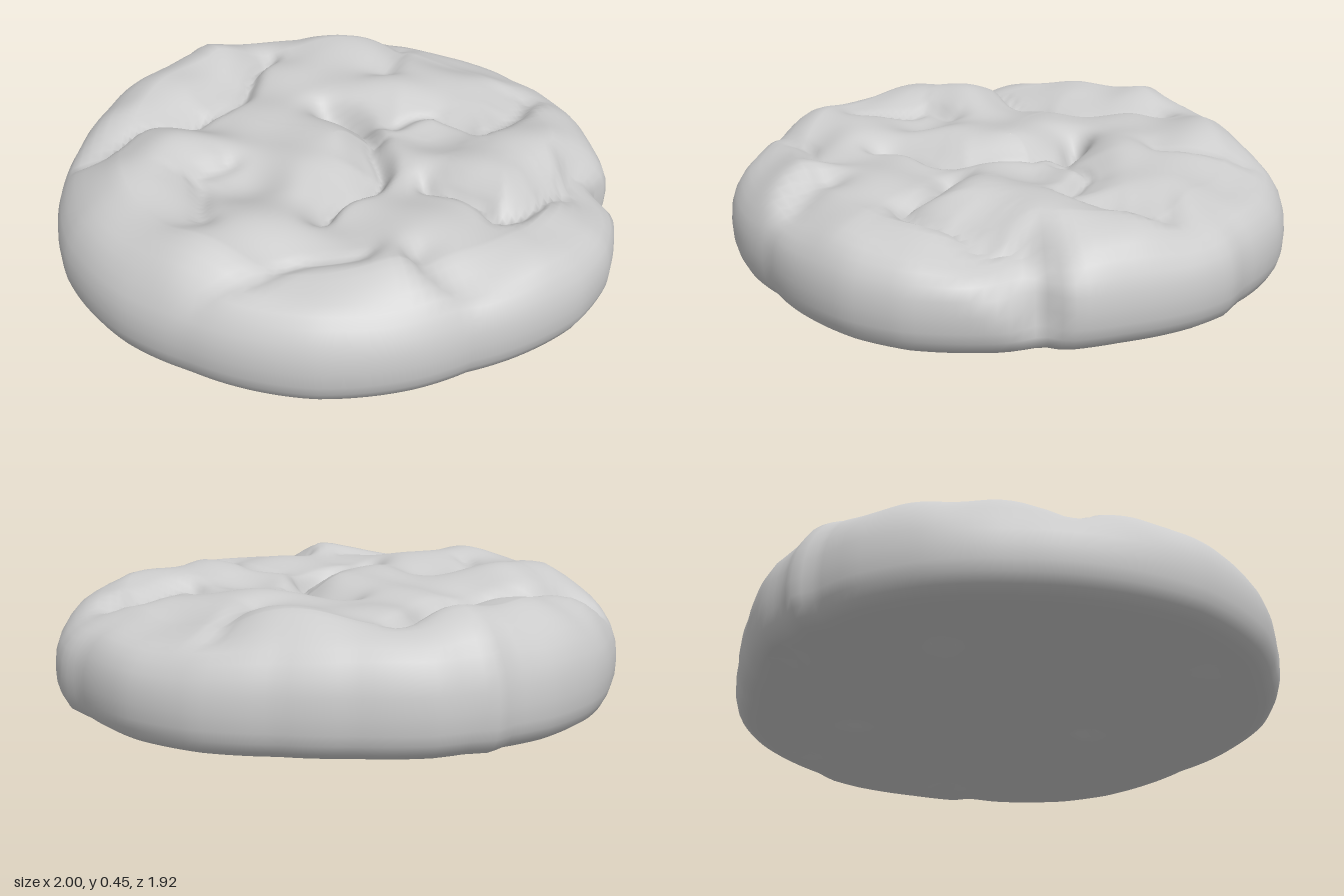
import * as THREE from 'three';

const { clamp, lerp, mapLinear, radToDeg, smoothstep } = THREE.MathUtils;
const SECTORS = 160;

// Outline radius at [angle in degrees from +x towards +z]
const OUTLINE = [[0, 1], [15, 0.98], [26, 0.985], [30, 0.95], [37, 0.985], [54, 1.02], [65, 1.015], [75, 0.99],
  [90, 0.955], [101, 0.97], [120, 0.985], [129, 0.98], [145, 0.97], [160, 0.99], [180, 1], [200, 0.98],
  [215, 0.97], [231, 0.98], [245, 0.975], [255, 0.955], [258, 0.98], [263, 0.955], [270, 0.955], [285, 0.915],
  [300, 0.915], [315, 0.96], [330, 0.98], [347, 0.975], [353, 1], [360, 1]];

// Side profile as [fraction of radius, height], from the underside round the rim
const RIM = [[0.9, 0.016], [0.94, 0.024], [0.97, 0.044], [0.987, 0.075], [0.997, 0.11], [1, 0.16], [0.995, 0.21],
  [0.98, 0.255], [0.955, 0.295], [0.925, 0.328], [0.89, 0.353], [0.85, 0.375], [0.81, 0.39]];

// Cracks in the crust as x, z paths: the left-hand side of each path is raised and rolls down into the crack
const CRACKS = [
  { step: 0.035, depth: 0.06, path: [[-0.78, -0.35], [-0.45, -0.39], [-0.3, -0.4], [-0.08, -0.56], [0.02, -0.68]] },
  { step: 0.03, depth: 0.08, path: [[-0.22, 0.36], [-0.1, 0.29], [0.04, 0.23], [0.15, 0.02], [0.12, -0.2]] },
  { step: 0.02, depth: 0.05, path: [[0.12, -0.2], [0.28, -0.06], [0.45, -0.02], [0.49, 0.14], [0.68, 0.1], [0.78, -0.02]] },
  { step: 0.035, depth: 0.06, path: [[0.2, 0.38], [0.3, 0.6], [0.47, 0.6], [0.68, 0.46], [0.86, 0.46]] },
  { step: 0.03, depth: 0.03, path: [[-0.6, 0.24], [-0.56, 0.02], [-0.42, -0.05]] },
  { step: 0.02, depth: 0.03, path: [[-0.72, 0.55], [-0.5, 0.55], [-0.24, 0.62]] },
  { step: 0.015, depth: 0.03, path: [[0.4, -0.36], [0.55, -0.56]] },
  { step: 0, depth: 0.05, path: [[-0.06, 0.72], [-0.03, 0.85]] },
];

// Lumps and hollows: x, z, height, width
const LUMPS = [
  [-0.6, -0.15, 0.06, 0.18], [-0.62, 0.35, 0.03, 0.17], [-0.3, -0.68, 0.025, 0.22], [0.25, -0.62, 0.035, 0.2],
  [0.35, -0.25, 0.05, 0.17], [-0.15, 0.02, 0.04, 0.18], [0.45, 0.3, 0.03, 0.14], [0.72, 0.25, -0.01, 0.14],
  [0.55, 0.7, -0.035, 0.16], [0.2, 0.72, -0.025, 0.15], [0.7, -0.3, -0.035, 0.18], [-0.35, 0.12, -0.04, 0.13],
  [0.3, 0.12, -0.02, 0.14], [-0.2, 0.48, -0.01, 0.14], [-0.4, -0.28, -0.02, 0.12], [0.1, -0.4, -0.02, 0.12],
  [0.72, 0.55, -0.045, 0.11], [0.72, 0, -0.02, 0.15],
];

// Small pits in the underside: x, z, width
const PITS = [[0.74, 0.3, 0.08], [0.75, -0.35, 0.04], [0.37, -0.37, 0.04], [0.02, -0.83, 0.05], [-0.35, -0.5, 0.05],
  [-0.08, 0.34, 0.04], [-0.73, 0.28, 0.04]];

function outlineRadius(angle) {
  const deg = radToDeg(angle);
  const i = Math.max(1, OUTLINE.findIndex(([a]) => a >= deg));
  const [a0, r0] = OUTLINE[i - 1], [a1, r1] = OUTLINE[i];
  return mapLinear(deg, a0, a1, r0, r1);
}

// Signed step and lopsided groove along one crack
function crackHeight({ path, step, depth }, x, z) {
  let best = Infinity, side = 0;
  for (let i = 1; i < path.length; i++) {
    const [ax, az] = path[i - 1], [bx, bz] = path[i];
    const dx = bx - ax, dz = bz - az, len = Math.hypot(dx, dz);
    const t = clamp(((x - ax) * dx + (z - az) * dz) / (len * len), 0, 1);
    const d = Math.hypot(x - ax - t * dx, z - az - t * dz);
    if (d < best) {
      best = d;
      side = (dz * (x - ax) - dx * (z - az)) / len / (d + 0.02);
    }
  }
  const width = lerp(0.035, 0.1, (side + 1) / 2);
  return step * side * Math.exp(-best / 0.13) - depth * Math.exp(-((best / width) ** 2));
}

function crustHeight(x, z) {
  let h = 0.014 * Math.sin(9 * x + 4 * z) * Math.cos(8 * z - 3 * x) + 0.008 * Math.sin(17 * x - 12 * z + 1);
  for (const [cx, cz, height, w] of LUMPS) h += height * Math.exp(-((x - cx) ** 2 + (z - cz) ** 2) / (w * w));
  // The cracks wander a little
  const wx = x + 0.018 * Math.sin(19 * z + 5 * x), wz = z + 0.018 * Math.sin(21 * x - 4 * z);
  for (const crack of CRACKS) h += crackHeight(crack, wx, wz);
  return h;
}

function pitDepth(x, z) {
  return PITS.reduce((sum, [px, pz, w]) => sum + 0.035 * Math.exp(-((x - px) ** 2 + (z - pz) ** 2) / (w * w)), 0);
}

// Split down the side, leaning and widening towards the crust
function splitPull(angle, fraction, height) {
  const rise = smoothstep(height, 0.12, 0.36);
  const across = (angle - 0.54 - 0.1 * rise) / lerp(0.055, 0.12, rise);
  const amount = lerp(0.04, 0.07, rise) * smoothstep(height, 0.04, 0.15) * smoothstep(fraction, 0.8, 0.93);
  return 1 - amount * Math.exp(-across * across);
}

function biscuitGeometry() {
  // Rings from the middle of the underside, round the rim, to the middle of the crust
  const rings = [];
  for (let i = 0; i < 22; i++) rings.push([0.001 + i * 0.04, 0.01]);
  rings.push(...RIM);
  for (let i = 0; i < 44; i++) rings.push([0.78 * (1 - i / 43) + 0.001, 0.4]);

  const positions = [], indices = [];
  rings.forEach(([fraction, height], ring) => {
    for (let s = 0; s < SECTORS; s++) {
      const angle = (s / SECTORS) * Math.PI * 2;
      const r = outlineRadius(angle) * fraction;
      let x = r * Math.cos(angle), z = r * Math.sin(angle), y = height;
      if (ring < 23) {
        y += pitDepth(x, z);
      } else {
        // The crust relief fades out down the rim, which stands taller at the back
        y += crustHeight(x, z) * smoothstep(height, 0.2, 0.4);
        y += 0.025 * smoothstep(-z, 0.6, 0.9) * smoothstep(height, 0.1, 0.3);
        const pull = splitPull(angle, fraction, height);
        x *= pull;
        z *= pull;
      }
      positions.push(x, y, z);
      if (ring > 0) {
        const next = (s + 1) % SECTORS;
        const a = (ring - 1) * SECTORS + s, b = (ring - 1) * SECTORS + next;
        const c = ring * SECTORS + s, d = ring * SECTORS + next;
        indices.push(a, c, b, b, c, d);
      }
    }
  });
  const geometry = new THREE.BufferGeometry();
  geometry.setAttribute('position', new THREE.Float32BufferAttribute(positions, 3));
  geometry.setIndex(indices);
  geometry.computeVertexNormals();
  return geometry;
}

export function createModel() {
  const group = new THREE.Group();
  group.name = 'crackedBiscuit';
  const biscuit = new THREE.Mesh(biscuitGeometry(), new THREE.MeshStandardMaterial({ color: 0xcccccc }));
  biscuit.name = 'biscuit';
  group.add(biscuit);
  return group;
}
